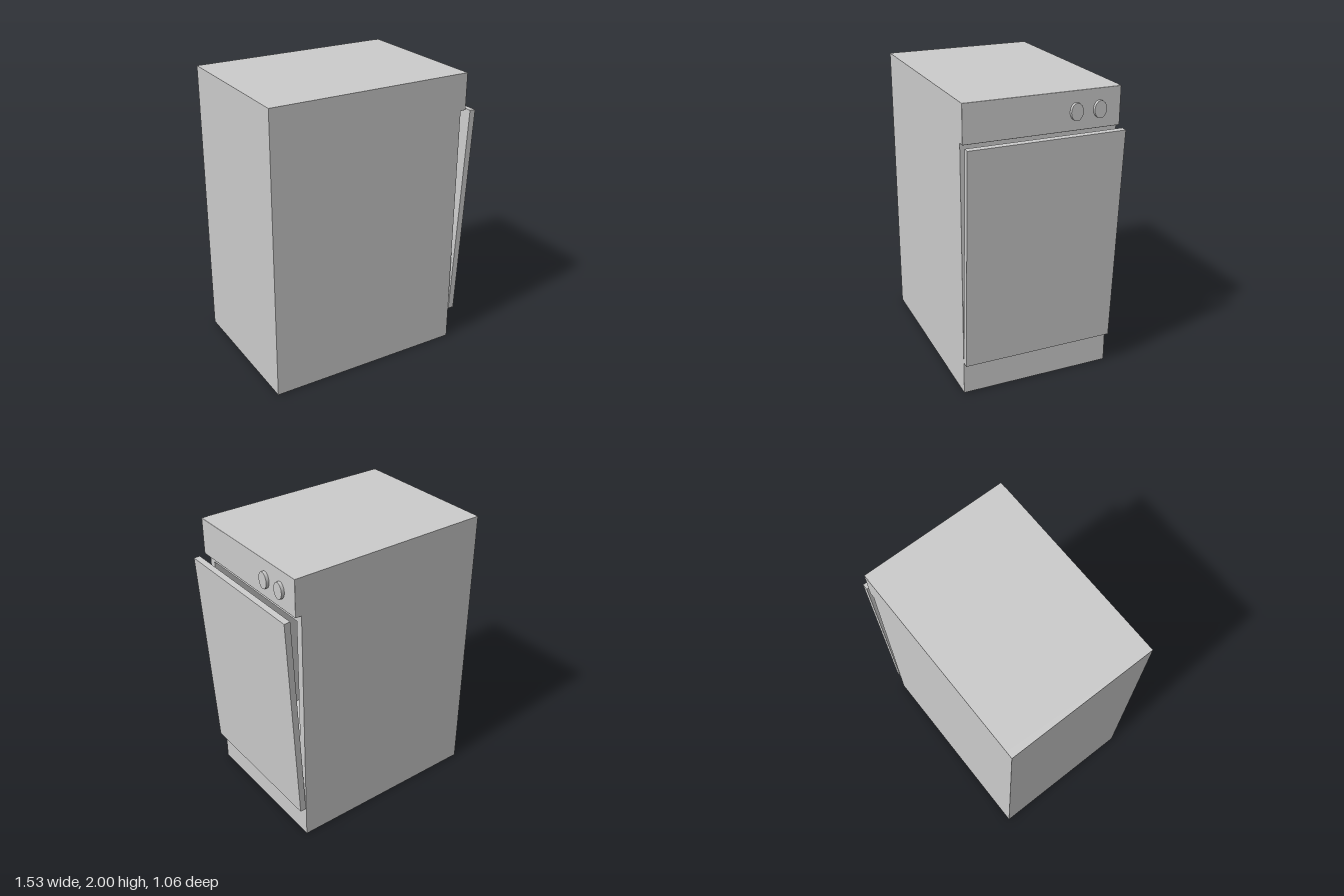
import * as THREE from 'three';
import { RoundedBoxGeometry } from 'three/addons/geometries/RoundedBoxGeometry.js';

const WIDTH = 1.056;      // along z
const BACK = -0.765;      // rear of the cabinet
const FACE = 0.638;       // cabinet front plane
const WALL = 0.05;

function rectPath(path, x0, y0, x1, y1) {
  path.moveTo(x0, y0);
  path.lineTo(x1, y0);
  path.lineTo(x1, y1);
  path.lineTo(x0, y1);
  path.closePath();
  return path;
}

export function createModel() {
  const model = new THREE.Group();
  model.name = 'dishwasher';
  const material = new THREE.MeshStandardMaterial({ color: 0xcccccc });
  const half = WIDTH / 2;

  function add(name, geometry, x, y, z, parent = model) {
    const mesh = new THREE.Mesh(geometry, material);
    mesh.name = name;
    mesh.position.set(x, y, z);
    parent.add(mesh);
    return mesh;
  }

  // Cabinet shell: a rectangular tube around the wash chamber, open at the front
  const outline = rectPath(new THREE.Shape(), -half, 0, half, 2);
  outline.holes.push(rectPath(new THREE.Path(), -half + WALL, 0.27, half - WALL, 1.69));
  const shell = new THREE.ExtrudeGeometry(outline, { depth: FACE - BACK - WALL, bevelEnabled: false });
  shell.rotateY(Math.PI / 2);
  add('cabinetShell', shell, BACK + WALL, 0, 0);
  add('backWall', new THREE.BoxGeometry(WALL, 2, WIDTH), BACK + WALL / 2, 1, 0);

  // Control panel with a fine softened edge
  add('controlPanel', new RoundedBoxGeometry(0.06, 0.255, WIDTH, 1, 0.004), 0.65, 1.8725, 0);

  // Oval knobs
  for (const z of [-0.378, -0.217]) {
    const knob = new THREE.CylinderGeometry(1, 1, 0.024, 16);
    knob.rotateZ(-Math.PI / 2);
    knob.scale(1, 0.057, 0.042);
    add('knob', knob, 0.689, 1.868, z);
  }

  // Door, hinged at its lower edge and left slightly ajar
  const door = new THREE.Group();
  door.name = 'door';
  door.position.set(0.641, 0.232, 0);
  door.rotation.z = -0.051;
  model.add(door);
  add('doorPanel', new THREE.BoxGeometry(0.043, 1.507, WIDTH), 0.0215, 0.7535, 0, door);

  return model;
}
